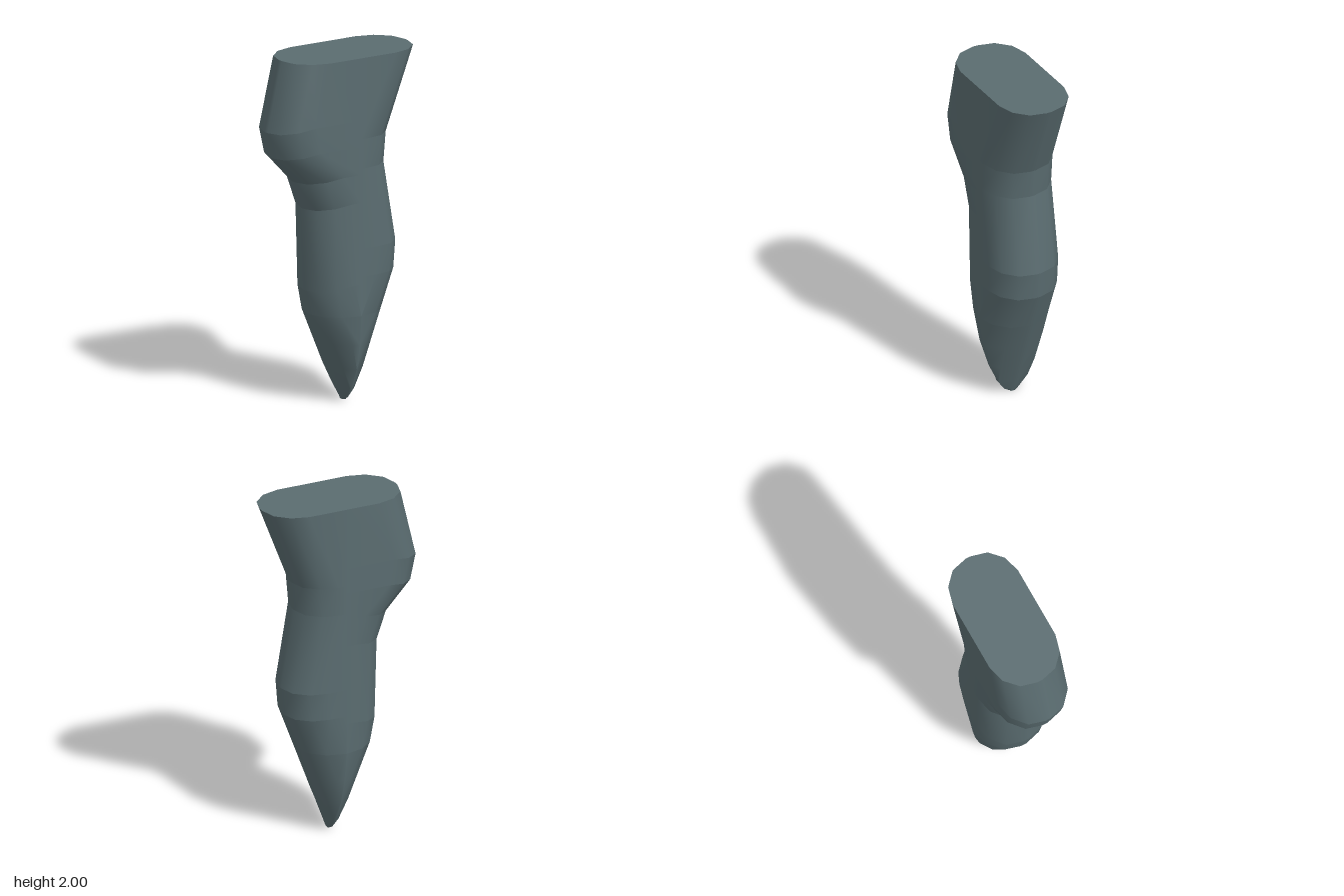
import * as THREE from 'three';
import { mergeGeometries } from 'three/addons/utils/BufferGeometryUtils.js';

// Rounded edge: distance in from the silhouette -> half thickness
const EDGE = [[0, 0.015], [0.025, 0.11], [0.1, 0.18], [0.2, 0.207]];
// Rounded tip: height -> greatest half thickness
const TIP = [[0, 0.015], [0.02, 0.05], [0.08, 0.092], [0.2, 0.148], [0.35, 0.186], [0.52, 0.207]];

// Straight-line lookup in a short table
function lookup(table, t) {
  for (let i = 1; i < table.length; i++) {
    const [[t0, v0], [t1, v1]] = [table[i - 1], table[i]];
    if (t <= t1) return THREE.MathUtils.mapLinear(t, t0, t1, v0, v1);
  }
  return table.at(-1)[1];
}

// Line where the two sides meet, forming the ridge near the tip
const seamX = (y) => 0.045 - 0.024 * Math.min(y, 0.52);

// One level of one side: front seam -> outer edge -> back seam
function makeRow([x, y], side, rise) {
  const isTip = y <= 0.52;
  const scale = isTip ? 1.075 : 1;
  const slope = isTip || y === 2 ? 0 : rise;
  const room = Math.abs(seamX(y) - x) / scale;
  const front = EDGE.map(([inset]) => {
    const d = Math.min(inset, room);
    return [x - side * d * scale, y + slope * d, Math.min(lookup(EDGE, d), lookup(TIP, y))];
  });
  const [, lastY, lastZ] = front.at(-1);
  front.push([seamX(lastY), lastY, lastZ]);
  const back = front.map(([px, py, pz]) => [px, py, -pz]);
  return [...front.reverse(), ...back];
}

function makeGeometry(points, index) {
  const geo = new THREE.BufferGeometry();
  geo.setAttribute('position', new THREE.Float32BufferAttribute(points.flat(), 3));
  geo.setIndex(index);
  geo.computeVertexNormals();
  return geo;
}

// Smooth skin over a run of rows
function makeBand(rows, side) {
  const n = rows[0].length;
  const index = [];
  for (let i = 0; i < rows.length - 1; i++) {
    for (let j = 0; j < n - 1; j++) {
      const a = i * n + j, b = a + 1, c = a + n, d = c + 1;
      if (side < 0) index.push(a, b, c, b, d, c);
      else index.push(a, c, b, b, c, d);
    }
  }
  return makeGeometry(rows.flat(), index);
}

// Creased bands down to the tip, then one smooth band for the tip
function makeSide(rows, side, tipStart) {
  const bands = [makeBand(rows.slice(tipStart), side)];
  for (let i = 0; i < tipStart; i++) bands.push(makeBand(rows.slice(i, i + 2), side));
  return mergeGeometries(bands);
}

// Flat end made as a fan around its middle
function makeCap(minusRow, plusRow, up) {
  const ring = [...minusRow, ...[...plusRow].reverse()];
  const y = ring[0][1];
  const index = [];
  for (let i = 0; i < ring.length; i++) {
    const a = i + 1, b = ((i + 1) % ring.length) + 1;
    if (up) index.push(0, b, a);
    else index.push(0, a, b);
  }
  return makeGeometry([[seamX(y), y, 0], ...ring], index);
}

export function createModel() {
  const group = new THREE.Group();
  group.name = 'taperedLeg';
  const slate = new THREE.MeshStandardMaterial({ color: 0x5a6c70 });
  slate.name = 'slateGrey';

  // Silhouette from the top down on each side
  const minusX = [[-0.37, 2], [-0.463, 1.6], [-0.43, 1.45], [-0.28, 1.29],
    [-0.223, 1.13], [-0.21, 0.66]];
  const plusX = [[0.46, 2], [0.28, 1.53], [0.265, 1.36], [0.343, 0.9], [0.33, 0.74]];
  const minusTip = minusX.length;
  const plusTip = plusX.length;
  for (const [y] of [...TIP].reverse()) {
    minusX.push([0.035 - 0.42 * y, y]);
    plusX.push([0.055 + 0.372 * y, y]);
  }

  const minusRows = minusX.map((p) => makeRow(p, -1, 0.2));
  const plusRows = plusX.map((p) => makeRow(p, 1, 0.03));
  const add = (name, geo) => {
    const mesh = new THREE.Mesh(geo, slate);
    mesh.name = name;
    group.add(mesh);
  };
  add('rightSide', makeSide(minusRows, -1, minusTip));
  add('leftSide', makeSide(plusRows, 1, plusTip));
  add('topCap', makeCap(minusRows[0], plusRows[0], true));
  add('tipCap', makeCap(minusRows.at(-1), plusRows.at(-1), false));
  return group;
}
